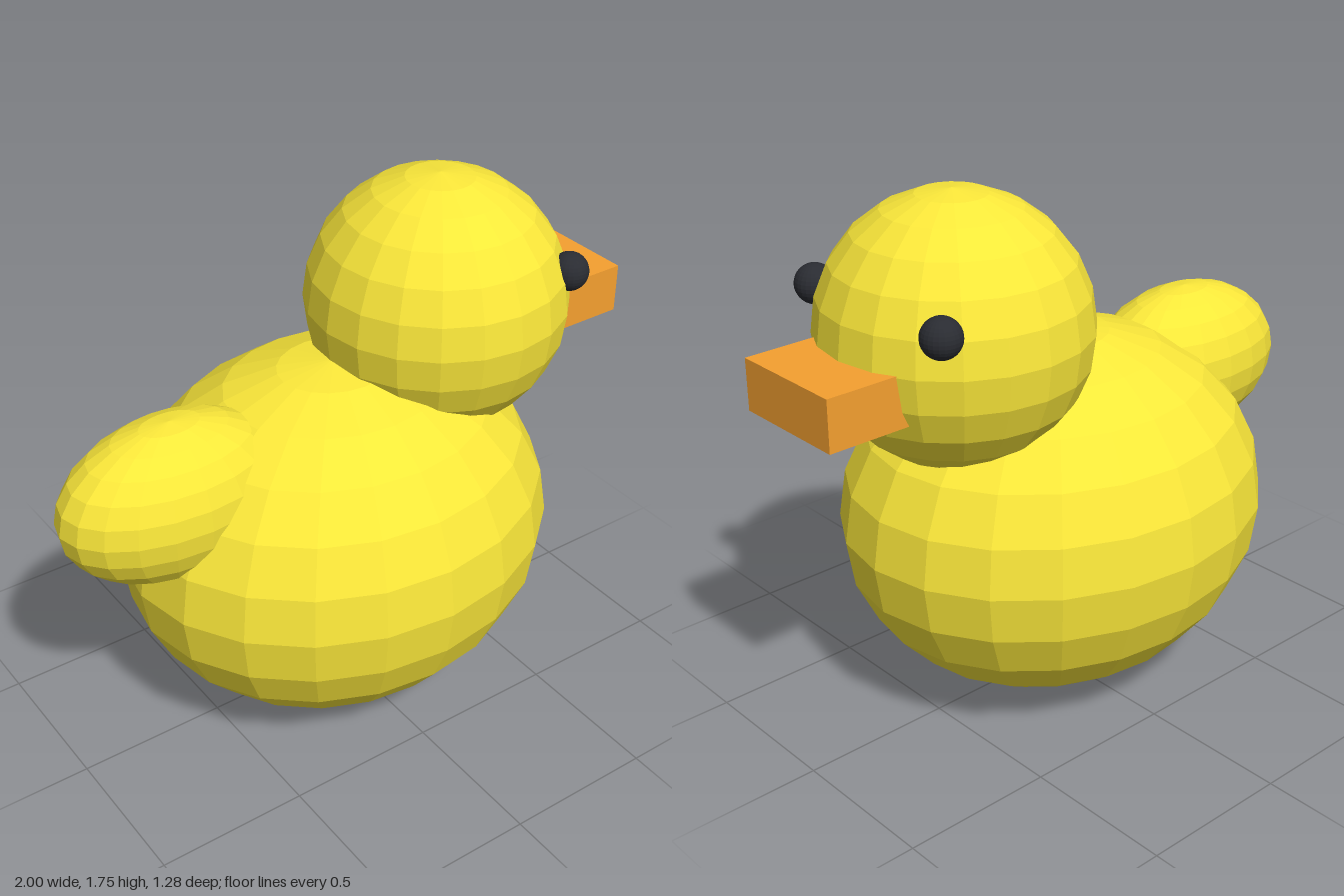
import * as THREE from 'three';

const flat = (color) => new THREE.MeshStandardMaterial({ color, flatShading: true });

export function createModel() {
  const group = new THREE.Group();
  const yellow = flat(0xfbe83a);
  const orange = flat(0xf5a030);
  const dark = flat(0x2a2c32);

  const add = (name, geometry, material, [x, y, z]) => {
    const mesh = new THREE.Mesh(geometry, material);
    mesh.name = name;
    mesh.position.set(x, y, z);
    group.add(mesh);
  };

  // Faceted ellipsoid with upright poles
  const ellipsoid = (rx, ry, rz) => new THREE.SphereGeometry(1, 20, 12).scale(rx, ry, rz);

  // Body, head and tail
  add('body', ellipsoid(0.74, 0.61, 0.64), yellow, [-0.01, 0.61, 0]);
  add('head', ellipsoid(0.43, 0.43, 0.43), yellow, [0.39, 1.32, 0]);
  add('tail', ellipsoid(0.39, 0.265, 0.235), yellow, [-0.61, 0.945, 0]);

  // Beak, its inner end buried in the head
  add('beak', new THREE.BoxGeometry(0.4, 0.165, 0.4), orange, [0.8, 1.243, 0]);

  // Mirrored pair of eyes
  for (const side of [-1, 1]) {
    add(side < 0 ? 'eyeBack' : 'eyeFront', new THREE.SphereGeometry(0.063, 24, 16), dark, [0.68, 1.447, side * 0.3]);
  }
  return group;
}
